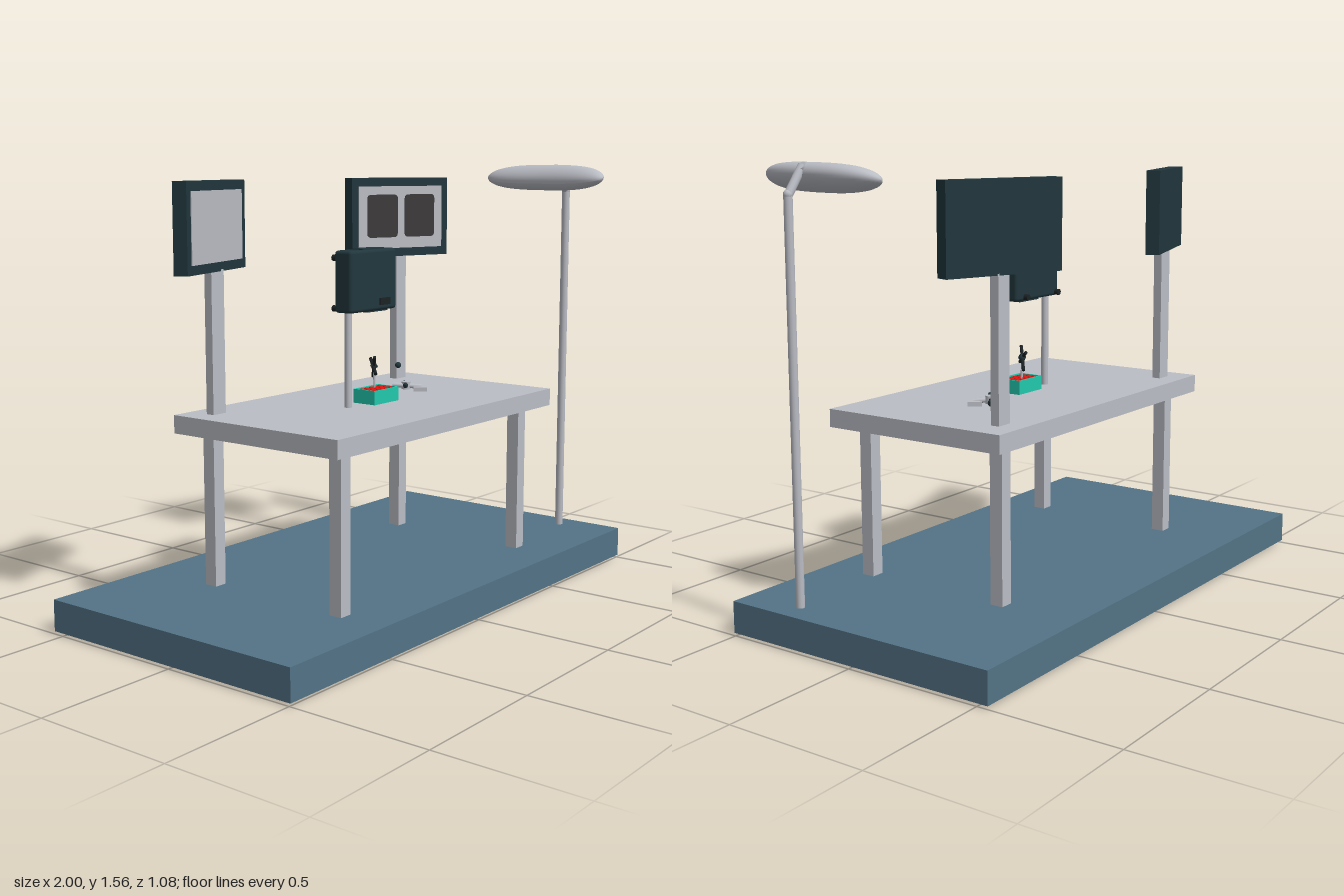
import * as THREE from 'three';
import { RoundedBoxGeometry } from 'three/addons/geometries/RoundedBoxGeometry.js';

const mat = (name, color) => {
  const m = new THREE.MeshStandardMaterial({ color });
  m.name = name;
  return m;
};

export function createModel() {
  const root = new THREE.Group();
  root.name = 'workstation';
  const blue = mat('slate blue', 0x537385);
  const grey = mat('light grey', 0xbbbdc5);
  const dark = mat('dark teal', 0x21373d);
  const pad = mat('charcoal', 0x3d3b3a);
  const teal = mat('bright teal', 0x22c9ae);
  const red = mat('red', 0xe81410);
  const black = mat('near black', 0x1c2224);

  const add = (name, geo, m, x = 0, y = 0, z = 0, parent = root) => {
    const mesh = new THREE.Mesh(geo, m);
    mesh.name = name;
    mesh.position.set(x, y, z);
    parent.add(mesh);
    return mesh;
  };
  // Box given by its limits on each axis
  const span = (name, m, x0, x1, y0, y1, z0, z1, parent = root) =>
    add(name, new THREE.BoxGeometry(x1 - x0, y1 - y0, z1 - z0), m,
      (x0 + x1) / 2, (y0 + y1) / 2, (z0 + z1) / 2, parent);
  // Round rod between two points
  const rod = (name, m, a, b, r, parent = root) => {
    const p = new THREE.Vector3(...a), q = new THREE.Vector3(...b);
    const d = q.clone().sub(p);
    const mesh = add(name, new THREE.CylinderGeometry(r, r, d.length(), 12), m, 0, 0, 0, parent);
    mesh.position.copy(p).add(q).multiplyScalar(0.5);
    mesh.quaternion.setFromUnitVectors(new THREE.Vector3(0, 1, 0), d.normalize());
    return mesh;
  };

  // Floor platform with four feet
  span('platform', blue, -1, 1, 0.01, 0.12, -0.54, 0.505);
  for (const x of [-0.88, 0.87])
    for (const z of [-0.4, 0.362])
      span('foot', grey, x - 0.04, x + 0.04, 0, 0.012, z - 0.04, z + 0.04);

  // Table
  span('tableTop', grey, -0.64, 0.635, 0.657, 0.72, -0.32, 0.392);
  for (const x of [-0.537, 0.518])
    for (const z of [-0.237, 0.317])
      span('tableLeg', grey, x - 0.024, x + 0.024, 0.12, 0.657, z - 0.024, z + 0.024);

  // Two angled screens on posts
  const screens = [[-0.543, -0.529, 1], [0.497, 0.505, -1]].map(([x, postX, s]) => {
    span('screenPost', grey, postX - 0.03, postX + 0.03, 0.72, 1.21, -0.245, -0.213);
    const g = new THREE.Group();
    g.name = 'screen';
    g.position.set(x, 1.355, -0.229);
    g.rotation.y = s * 0.325;
    root.add(g);
    add('screenCase', new THREE.BoxGeometry(0.448, 0.302, 0.05), dark, 0, 0, 0, g);
    add('screenPanel', new THREE.BoxGeometry(0.39, 0.238, 0.006), grey, 0, 0, 0.025, g);
    return g;
  });

  // Dark rounded panels on one screen
  const w = 0.07, h = 0.082, r = 0.018;
  const shape = new THREE.Shape();
  shape.moveTo(-w + r, -h);
  shape.lineTo(w - r, -h).quadraticCurveTo(w, -h, w, -h + r);
  shape.lineTo(w, h - r).quadraticCurveTo(w, h, w - r, h);
  shape.lineTo(-w + r, h).quadraticCurveTo(-w, h, -w, h - r);
  shape.lineTo(-w, -h + r).quadraticCurveTo(-w, -h, -w + r, -h);
  const padGeo = new THREE.ExtrudeGeometry(shape, { depth: 0.004, bevelEnabled: false });
  for (const x of [-0.087, 0.087]) add('screenInset', padGeo, pad, x, 0.005, 0.027, screens[1]);

  // Small monitor box on its own post
  rod('boxPost', grey, [-0.157, 0.72, 0.049], [-0.157, 1.06, 0.049], 0.013);
  add('monitorBox', new RoundedBoxGeometry(0.262, 0.215, 0.075, 2, 0.012), dark, -0.06, 1.159, 0.051);
  span('boxTopStrip', dark, -0.11, 0.01, 1.262, 1.27, 0.025, 0.075);
  span('boxBottomStrip', dark, -0.08, 0.035, 1.047, 1.055, 0.025, 0.075);
  span('boxSlot', black, -0.03, 0.028, 1.07, 1.095, 0.086, 0.092);
  for (const [x, y] of [[-0.175, 1.24], [-0.055, 1.24], [0.02, 1.24], [-0.175, 1.065], [0.02, 1.065]]) {
    const knob = add('boxKnob', new THREE.CylinderGeometry(0.011, 0.011, 0.018, 12), black, x, y, 0.007);
    knob.rotation.x = Math.PI / 2;
  }

  // Tray with red filling
  span('trayBase', teal, -0.07, 0.07, 0.72, 0.76, 0.004, 0.098);
  for (const [x0, x1, z0, z1] of [[-0.07, 0.07, 0.004, 0.01], [-0.07, 0.07, 0.092, 0.098],
    [-0.07, -0.064, 0.01, 0.092], [0.064, 0.07, 0.01, 0.092]])
    span('trayRim', teal, x0, x1, 0.76, 0.77, z0, z1);
  span('trayFilling', red, -0.064, 0.064, 0.758, 0.766, 0.01, 0.092);
  for (let i = 0; i < 5; i++)
    for (let j = 0; j < 3; j++)
      add('trayStud', new THREE.CylinderGeometry(0.005, 0.007, 0.005, 8), red,
        -0.05 + i * 0.025, 0.768, 0.026 + j * 0.025);

  // Crossed sticks standing over the tray
  rod('crossStem', grey, [0.012, 0.76, 0.035], [0.01, 0.845, 0.033], 0.004);
  rod('crossBar', black, [-0.015, 0.882, 0.055], [0.035, 0.803, 0.01], 0.006);
  rod('crossBar', black, [-0.022, 0.822, 0.066], [0.03, 0.868, 0.003], 0.006);
  rod('crossHub', dark, [0.003, 0.84, 0.027], [0.017, 0.85, 0.04], 0.01);
  add('smallBall', new THREE.SphereGeometry(0.011, 12, 8), dark, 0.078, 0.846, 0.09);

  // Small instrument lying on the table
  const plate = add('instrumentPlate', new THREE.BoxGeometry(0.058, 0.016, 0.05), grey, 0.298, 0.728, 0.03);
  plate.rotation.y = 0.65;
  rod('instrumentBar', black, [0.218, 0.744, 0.018], [0.325, 0.738, -0.055], 0.006);
  rod('instrumentArm', grey, [0.235, 0.742, -0.05], [0.305, 0.734, 0.03], 0.009);
  rod('instrumentHub', grey, [0.27, 0.725, -0.015], [0.27, 0.753, -0.015], 0.017);
  add('instrumentKnob', new THREE.SphereGeometry(0.012, 12, 8), dark, 0.312, 0.737, -0.05);
  add('instrumentKnob', new THREE.SphereGeometry(0.01, 12, 8), dark, 0.23, 0.746, 0.012);

  // Lamp pole and bent arm
  rod('lampPole', grey, [0.916, 0.12, 0.281], [0.916, 1.46, 0.281], 0.015);
  rod('lampArm', grey, [0.918, 1.452, 0.281], [0.855, 1.545, 0.275], 0.015);
  rod('lampJoint', grey, [0.862, 1.545, 0.275], [0.82, 1.5, 0.27], 0.018);
  add('lampElbow', new THREE.SphereGeometry(0.016, 12, 8), grey, 0.916, 1.458, 0.281);

  // Long lamp head: blunt-ended, tilted and gently bowed pod
  const head = new THREE.SphereGeometry(1, 28, 32);
  head.rotateX(Math.PI / 2);
  const pos = head.attributes.position;
  const c = Math.cos(0.33), s = Math.sin(0.33);
  for (let i = 0; i < pos.count; i++) {
    const round = Math.hypot(pos.getX(i), pos.getY(i)) || 1;
    const a = Math.asin(THREE.MathUtils.clamp(pos.getZ(i), -1, 1));
    const t = Math.sin(a);
    const k = Math.pow(Math.max(0, 1 - Math.pow(Math.abs(t), 3)), 0.5);
    const u = pos.getX(i) / round * k * 0.07, v = pos.getY(i) / round * k * 0.045;
    pos.setXYZ(i, u * c - v * s - 0.042 * t - 0.024 * t * t, u * s + v * c, t * 0.276);
  }
  head.computeVertexNormals();
  add('lampHead', head, grey, 0.802, 1.507, 0.262);

  return root;
}
